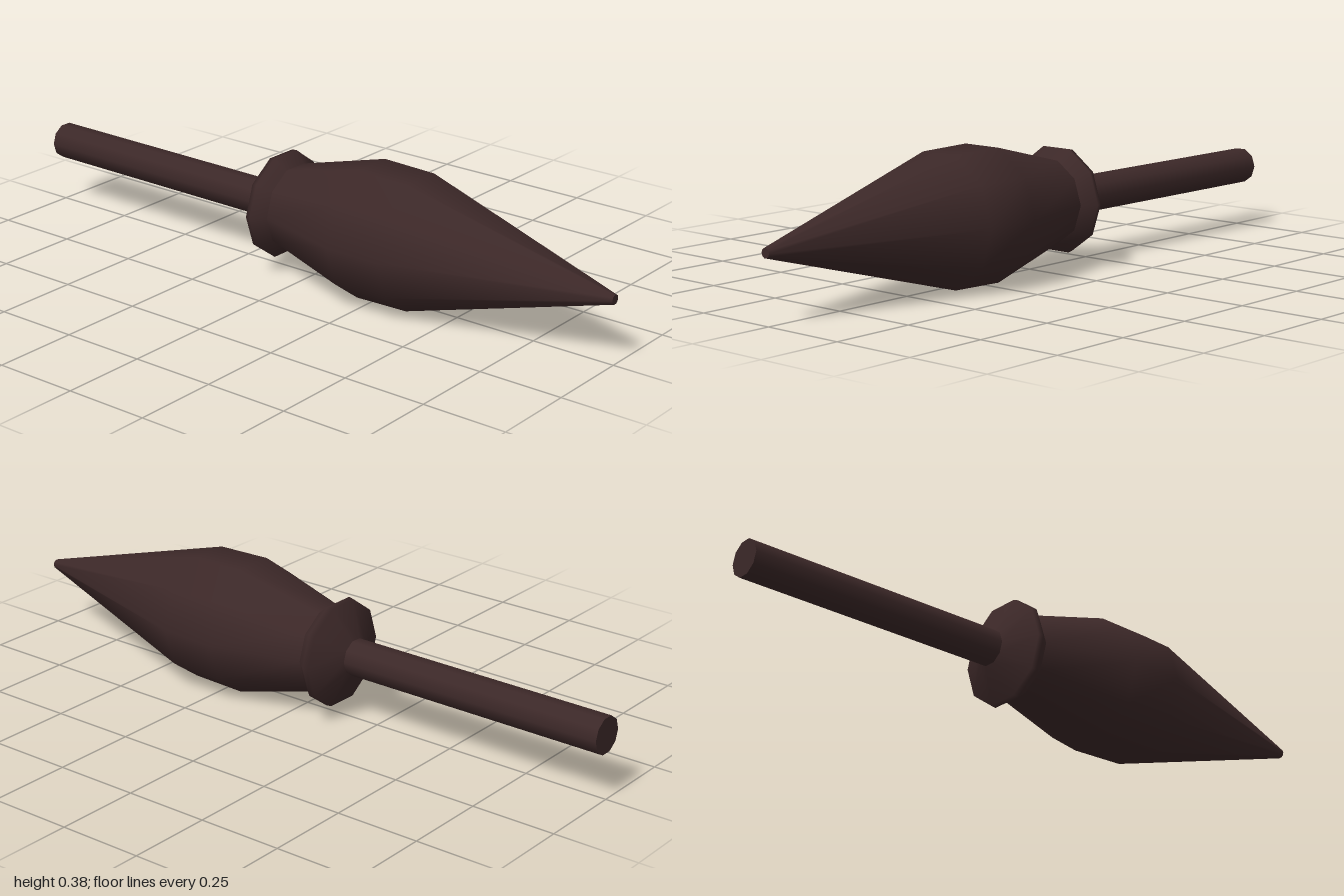
import * as THREE from 'three';

const SIDES = 10;
const material = new THREE.MeshStandardMaterial({ color: 0x3c2828 });

// Turned part along z; profile is a list of [radius, z] from back to front
function turned(name, profile) {
  const points = profile.map(([r, z]) => new THREE.Vector2(r, z));
  const geometry = new THREE.LatheGeometry(points, SIDES, Math.PI / 2);
  geometry.rotateX(Math.PI / 2);
  const mesh = new THREE.Mesh(geometry, material);
  mesh.name = name;
  return mesh;
}

// Flat disc closing an end; facing is +1 for front, -1 for back
function cap(name, radius, z, facing) {
  const mesh = new THREE.Mesh(new THREE.CircleGeometry(radius, SIDES), material);
  mesh.name = name;
  if (facing < 0) mesh.rotation.y = Math.PI;
  mesh.position.z = z;
  return mesh;
}

export function createModel() {
  const bolt = new THREE.Group();
  bolt.name = 'bolt';

  // Swollen head tapering to a blunt tip
  bolt.add(turned('head', [[0.126, -0.075], [0.199, 0.2], [0.195, 0.37], [0.014, 1]]));
  bolt.add(cap('tipCap', 0.014, 1, 1));

  // Flared ring behind the head
  bolt.add(turned('collar', [[0.054, -0.175], [0.155, -0.128], [0.158, -0.112], [0.126, -0.075]]));

  // Slim rod and its end
  bolt.add(turned('shaft', [[0.054, -1], [0.054, -0.16]]));
  bolt.add(cap('shaftCap', 0.054, -1, -1));

  // The axis leans very slightly sideways
  bolt.rotation.y = -0.009;
  bolt.position.set(0.0025, 0.19, 0);

  const model = new THREE.Group();
  model.name = 'model';
  model.add(bolt);
  return model;
}
